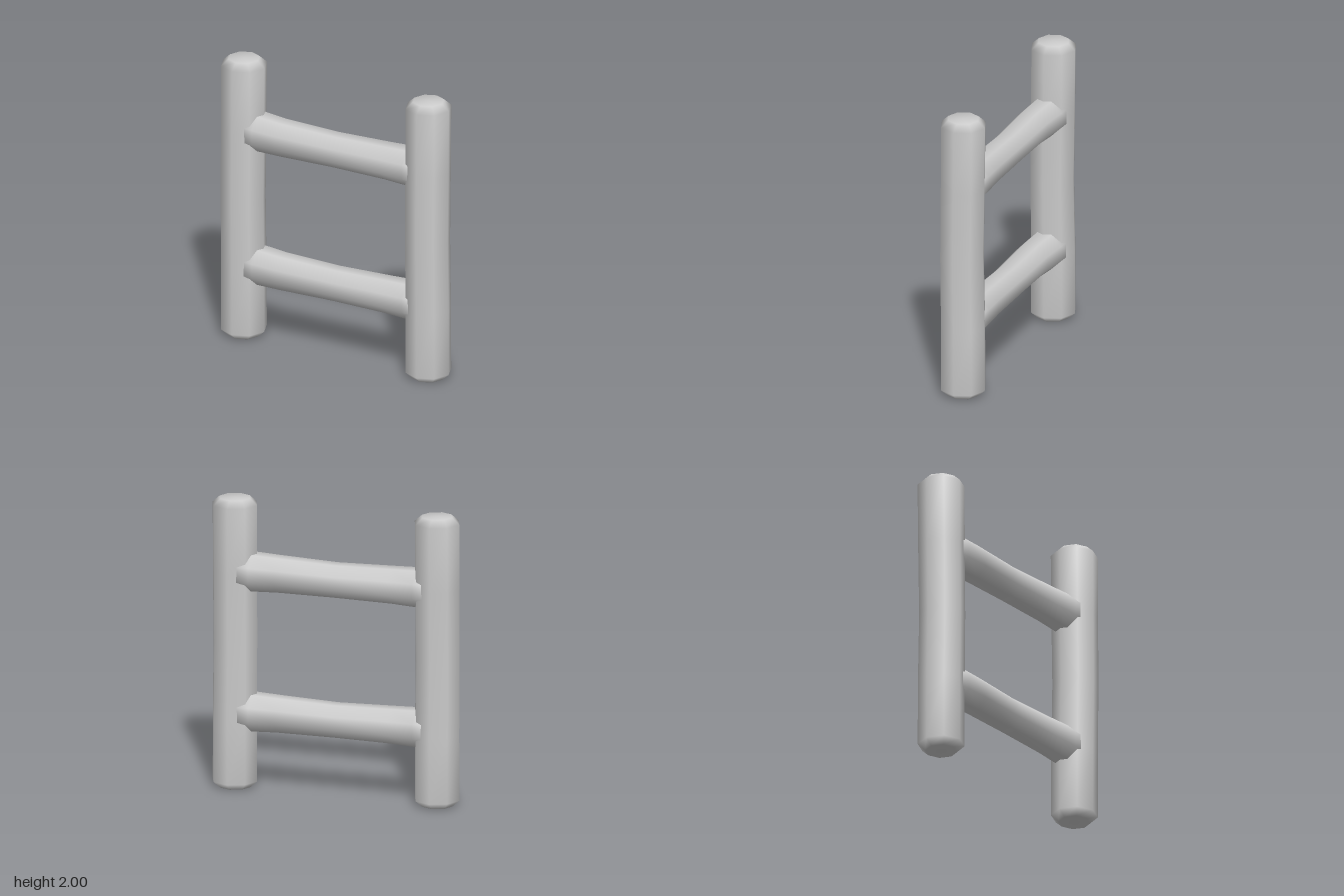
import * as THREE from 'three';

const SIDES = 8;
const material = new THREE.MeshStandardMaterial({ color: 0xcccccc });

// Smooth closed loft: each ring is { c: centre, r: radius }; u x v must point along the loft.
function loft(rings, u, v, phase) {
  const pos = [], index = [];
  const n = rings.length;
  for (const { c, r } of rings) {
    for (let i = 0; i < SIDES; i++) {
      const a = phase + (i / SIDES) * Math.PI * 2;
      const p = new THREE.Vector3(...c)
        .addScaledVector(u, r * Math.cos(a))
        .addScaledVector(v, r * Math.sin(a));
      pos.push(p.x, p.y, p.z);
    }
  }
  pos.push(...rings[0].c, ...rings[n - 1].c);
  const first = n * SIDES, last = first + 1;
  for (let i = 0; i < SIDES; i++) {
    const j = (i + 1) % SIDES;
    for (let k = 0; k < n - 1; k++) {
      const a = k * SIDES + i, b = k * SIDES + j;
      index.push(a, b, b + SIDES, a, b + SIDES, a + SIDES);
    }
    const top = (n - 1) * SIDES;
    index.push(first, j, i, last, top + i, top + j);
  }
  const g = new THREE.BufferGeometry();
  g.setAttribute('position', new THREE.Float32BufferAttribute(pos, 3));
  g.setIndex(index);
  g.computeVertexNormals();
  return g;
}

const X = new THREE.Vector3(1, 0, 0);
const Y = new THREE.Vector3(0, 1, 0);
const Z = new THREE.Vector3(0, 0, 1);

// Upright log: height, z offset, radius (bevelled ends, slight bow to the front)
const POST = [
  [0, 0, 0.108], [0.045, -0.001, 0.158], [0.5, 0, 0.157], [1, 0.008, 0.155],
  [1.5, 0.002, 0.157], [1.955, -0.002, 0.158], [2, -0.002, 0.108],
];

// Crossbar: x, height offset, z offset, radius (thinner and lower in the middle)
const RUNG = [
  [-0.72, 0.002, -0.004, 0.139], [-0.58, 0, 0.003, 0.135], [-0.4, -0.002, 0.013, 0.128],
  [0, -0.004, 0.003, 0.12], [0.4, 0.002, -0.002, 0.127],
  [0.58, 0.002, -0.004, 0.135], [0.72, 0.002, -0.005, 0.139],
];

export function createModel() {
  const model = new THREE.Group();
  model.name = 'ladderSection';
  const add = (name, geometry) => {
    const mesh = new THREE.Mesh(geometry, material);
    mesh.name = name;
    model.add(mesh);
  };

  // Two upright posts
  for (const [name, x] of [['leftPost', 0.717], ['rightPost', -0.717]]) {
    add(name, loft(POST.map(([y, z, r]) => ({ c: [x, y, z], r })), Z, X, 0));
  }

  // Two crossbars, flat faces towards front and top
  for (const [name, y] of [['lowerRung', 0.526], ['upperRung', 1.495]]) {
    add(name, loft(RUNG.map(([x, dy, z, r]) => ({ c: [x, y + dy, z], r })), Y, Z, Math.PI / SIDES));
  }
  return model;
}
